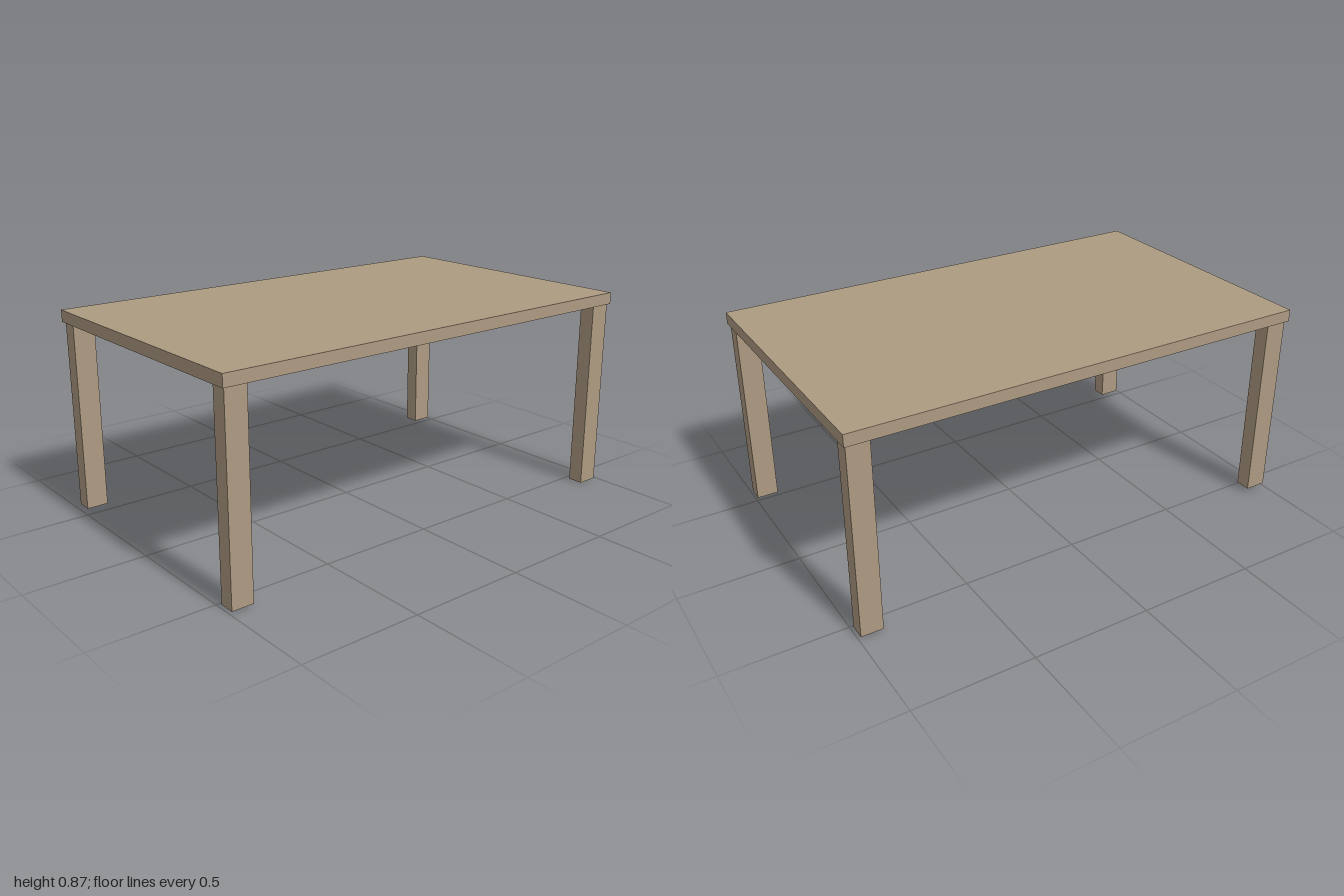
import * as THREE from 'three';

export function createModel() {
  const model = new THREE.Group();
  model.name = 'table';
  const wood = new THREE.MeshStandardMaterial({ color: 0xae9b82 });
  wood.name = 'light brown wood';

  // Box placed by its minimum and maximum corners
  const addBox = (name, min, max) => {
    const size = max.map((v, i) => v - min[i]);
    const mesh = new THREE.Mesh(new THREE.BoxGeometry(...size), wood);
    mesh.position.set(...max.map((v, i) => (v + min[i]) / 2));
    mesh.name = name;
    model.add(mesh);
  };

  const underside = 0.818;
  addBox('tabletop', [-0.597, underside, -1], [0.597, 0.868, 1]);

  // Legs: slightly uneven feet, deeper than they are wide
  const legs = [
    ['frontLeftLeg', 0.554, 0.944, 0.006],
    ['frontRightLeg', -0.55, 0.944, 0.02],
    ['backLeftLeg', 0.554, -0.944, 0],
    ['backRightLeg', -0.55, -0.944, 0.008],
  ];
  for (const [name, x, z, foot] of legs) {
    addBox(name, [x - 0.033, foot, z - 0.046], [x + 0.033, underside, z + 0.046]);
  }
  return model;
}
